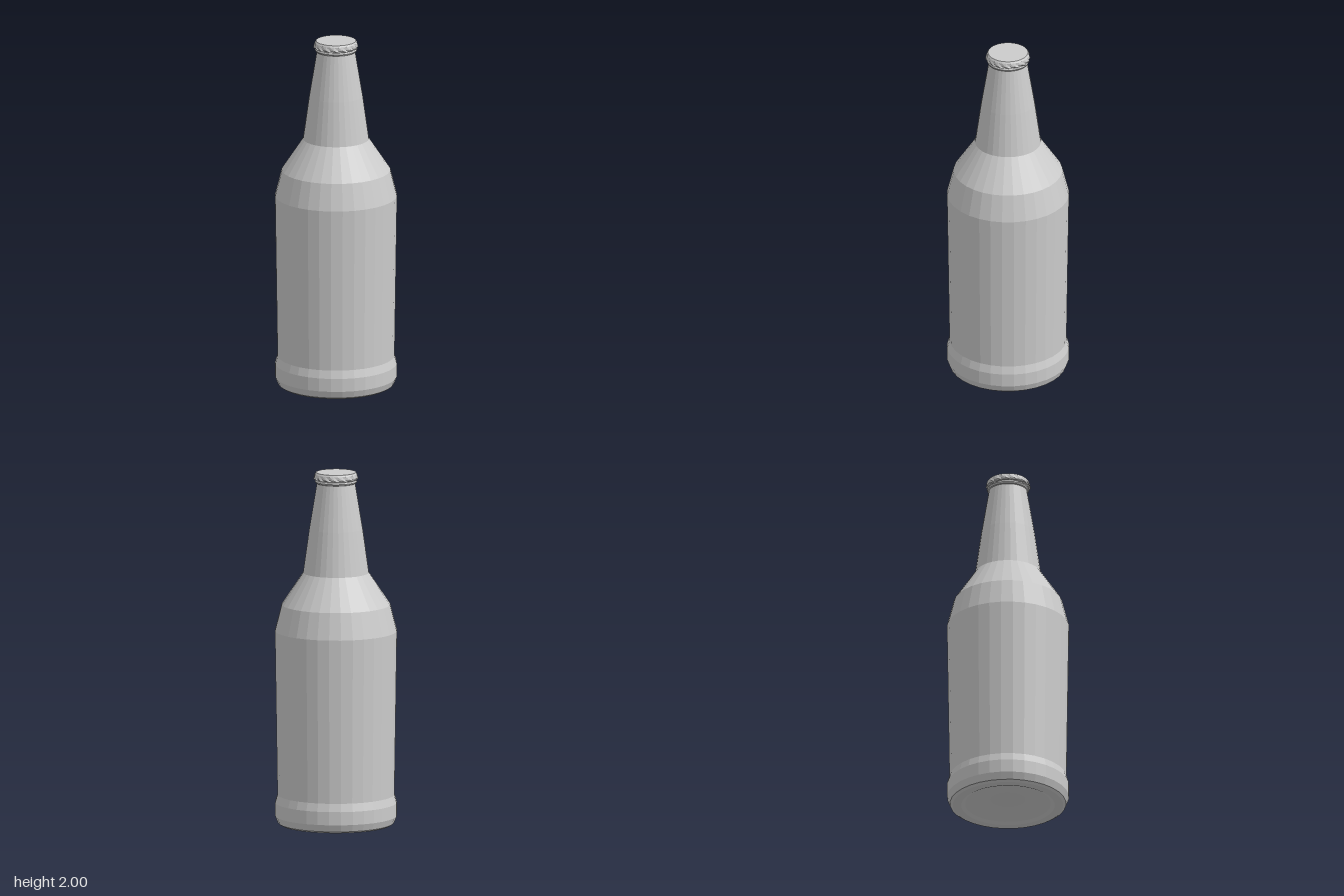
import * as THREE from 'three';

const SIDES = 32;
const material = new THREE.MeshStandardMaterial({ color: 0xcccccc, flatShading: true });

// Revolves [radius, height] pairs listed from the bottom up
function lathe(name, profile) {
  const points = profile.map(([r, y]) => new THREE.Vector2(r, y));
  const mesh = new THREE.Mesh(new THREE.LatheGeometry(points, SIDES), material);
  mesh.name = name;
  return mesh;
}

// Crimps the skirt: alternate corners of a row move outwards or inwards
function crimp(mesh, rows) {
  const p = mesh.geometry.attributes.position;
  const perColumn = p.count / (SIDES + 1);
  for (let i = 0; i < p.count; i++) {
    const amount = rows[i % perColumn] || 0;
    const odd = Math.floor(i / perColumn) % 2;
    const r = Math.hypot(p.getX(i), p.getZ(i));
    if (!amount || !r) continue;
    const k = (r + (odd ? amount : -amount)) / r;
    p.setX(i, p.getX(i) * k);
    p.setZ(i, p.getZ(i) * k);
  }
  mesh.geometry.computeVertexNormals();
  return mesh;
}

export function createModel() {
  const group = new THREE.Group();
  group.name = 'bottle';

  // Hollowed base, barrel, shoulder and tapering neck
  group.add(lathe('bottleBody', [
    [0, 0.035], [0.1, 0.035], [0.24, 0.01], [0.262, 0], [0.31, 0], [0.326, 0.01],
    [0.342, 0.05], [0.342, 0.125], [0.329, 0.17],
    [0.343, 1.1], [0.305, 1.25], [0.245, 1.34], [0.185, 1.43],
    [0.15, 1.68], [0.107, 1.94], [0.107, 1.97],
  ]));

  // Bead below the cap
  group.add(lathe('lipRing', [
    [0.1, 1.935], [0.114, 1.94], [0.118, 1.948], [0.114, 1.957], [0.1, 1.96],
  ]));

  // Crown cap with a crimped skirt
  group.add(crimp(lathe('cap', [
    [0.105, 1.962], [0.122, 1.961], [0.122, 1.971], [0.119, 1.99], [0.112, 2], [0, 2],
  ]), [0, 0.004, -0.003, 0, 0, 0]));

  return group;
}
